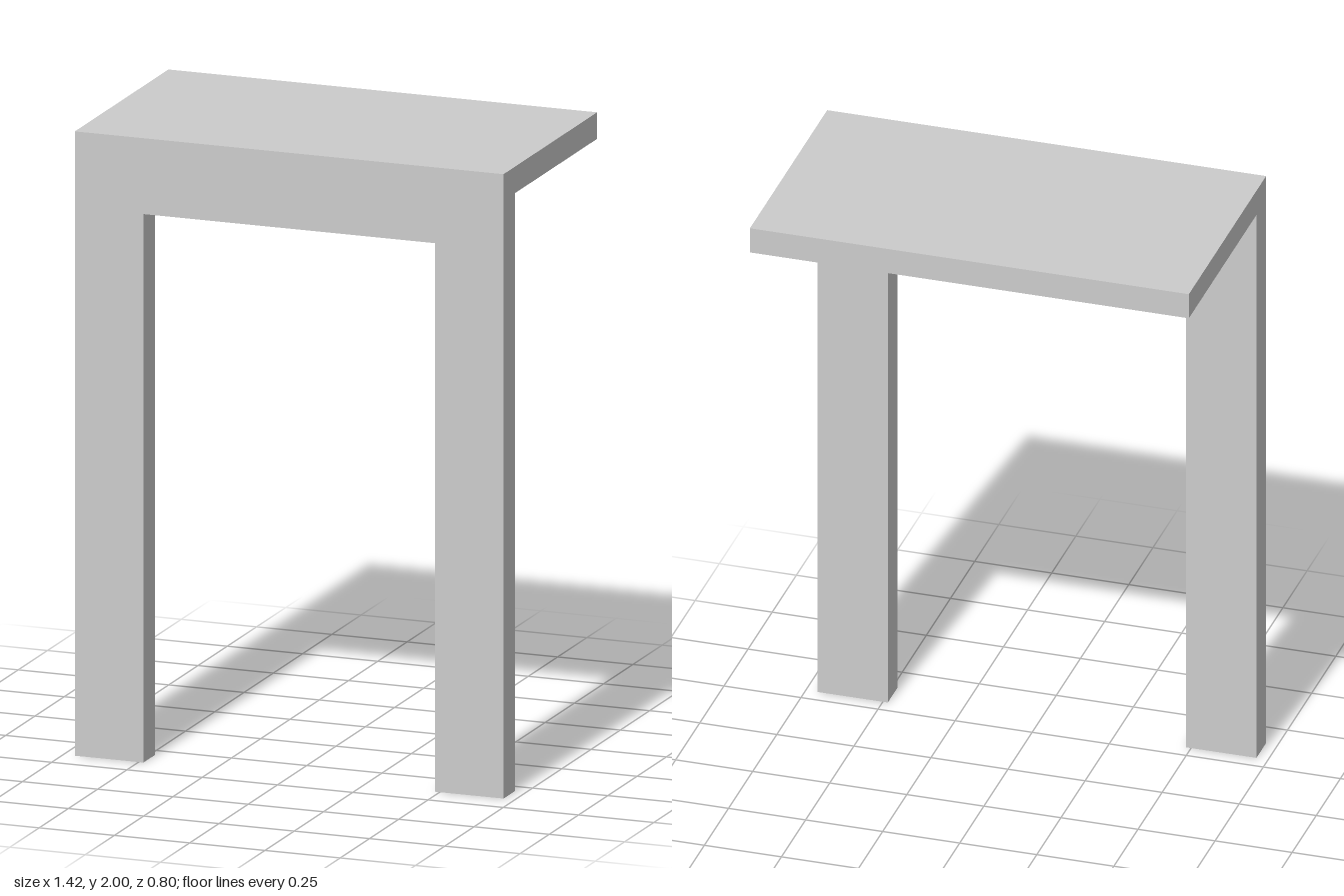
import * as THREE from 'three';

const HALF_W = 0.712;     // outer half width
const INNER_W = 0.484;    // half width of the opening
const HEIGHT = 2;
const OPENING_H = 1.757;  // underside of the lintel
const FRONT = 0.4, BACK = -0.4;
const FRAME_T = 0.1;      // frame thickness along z
const SLAB_T = 0.085;     // canopy thickness along y

export function createModel() {
  const group = new THREE.Group();
  group.name = 'porch';
  const material = new THREE.MeshStandardMaterial({ color: 0xcccccc, flatShading: true });

  // Portal frame: two posts and a lintel in one extruded outline
  const outline = new THREE.Shape([
    [-HALF_W, 0], [-INNER_W, 0], [-INNER_W, OPENING_H], [INNER_W, OPENING_H],
    [INNER_W, 0], [HALF_W, 0], [HALF_W, HEIGHT], [-HALF_W, HEIGHT],
  ].map(([x, y]) => new THREE.Vector2(x, y)));
  const frame = new THREE.Mesh(
    new THREE.ExtrudeGeometry(outline, { depth: FRAME_T, bevelEnabled: false }), material);
  frame.name = 'portalFrame';
  frame.position.z = FRONT - FRAME_T;
  group.add(frame);

  // Flat canopy running back from the top of the frame
  const depth = FRONT - FRAME_T - BACK;
  const canopy = new THREE.Mesh(new THREE.BoxGeometry(HALF_W * 2, SLAB_T, depth), material);
  canopy.name = 'canopySlab';
  canopy.position.set(0, HEIGHT - SLAB_T / 2, BACK + depth / 2);
  group.add(canopy);

  return group;
}
